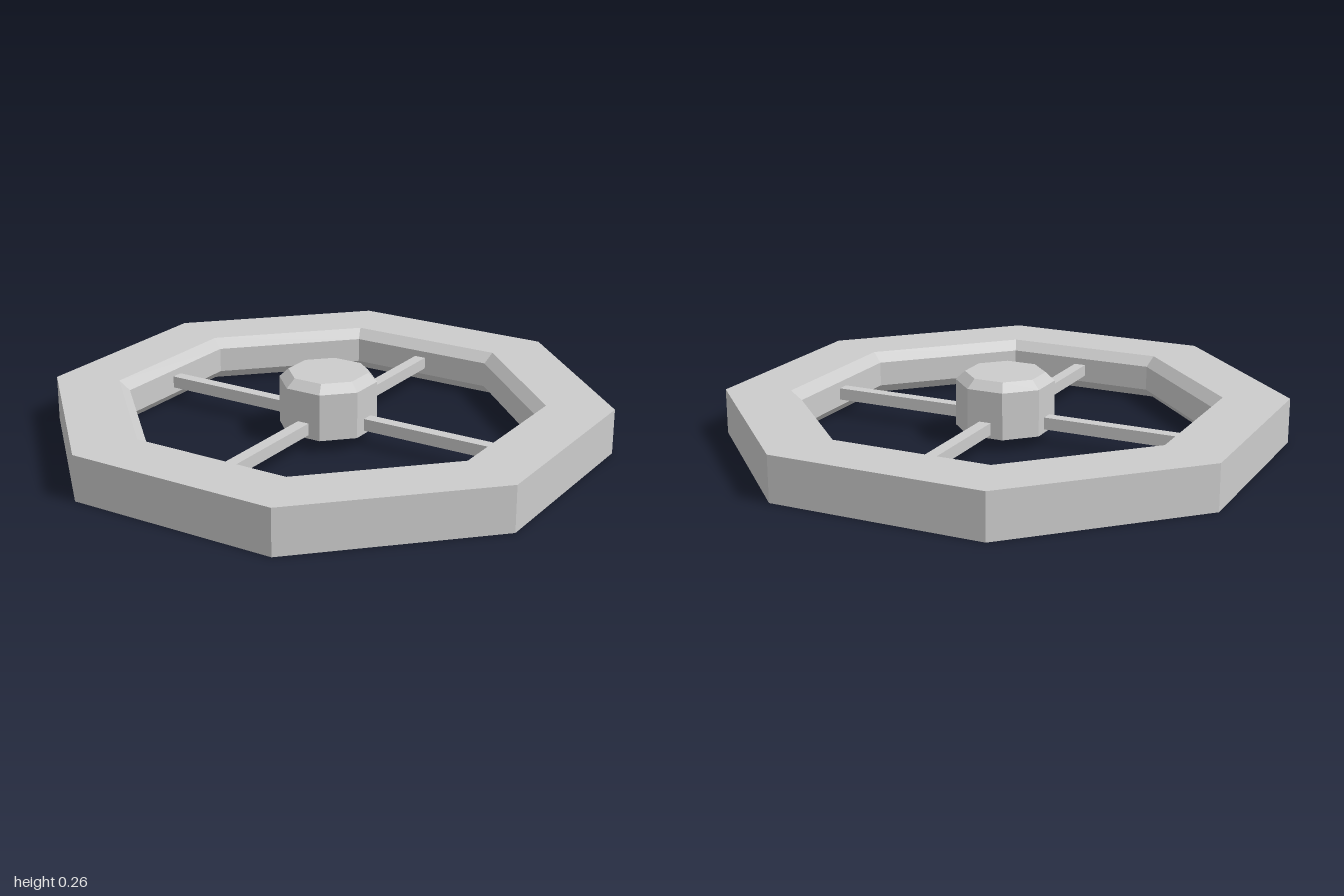
import * as THREE from 'three';

const material = new THREE.MeshStandardMaterial({ color: 0xcccccc, flatShading: true });

// Octagonal solid from a closed [apothem, y] profile, flat sides facing the axes
function octagon(name, profile) {
  const points = profile.map(([a, y]) => new THREE.Vector2(a / Math.cos(Math.PI / 8), y));
  const mesh = new THREE.Mesh(new THREE.LatheGeometry(points, 8, Math.PI / 8), material);
  mesh.name = name;
  return mesh;
}

export function createModel() {
  const wheel = new THREE.Group();
  wheel.name = 'handwheel';

  // Rim, chamfered along both inner edges
  const height = 0.175, bevel = 0.038;
  wheel.add(octagon('rim', [
    [1, 0], [1, height], [0.765, height], [0.727, height - bevel],
    [0.727, bevel], [0.765, 0], [1, 0],
  ]));

  // Hub with a chamfered top
  wheel.add(octagon('hub', [
    [0, 0.05], [0.175, 0.05], [0.175, 0.232], [0.142, 0.265], [0, 0.265],
  ]));

  // Four square spokes from the hub to the rim
  const inner = 0.165, outer = 0.73, thickness = 0.047;
  const spokeGeometry = new THREE.BoxGeometry(outer - inner, thickness, thickness);
  spokeGeometry.translate((inner + outer) / 2, height / 2, 0);
  for (let i = 0; i < 4; i++) {
    const spoke = new THREE.Mesh(spokeGeometry, material);
    spoke.name = `spoke${i + 1}`;
    spoke.rotation.y = (i * Math.PI) / 2;
    wheel.add(spoke);
  }
  return wheel;
}
